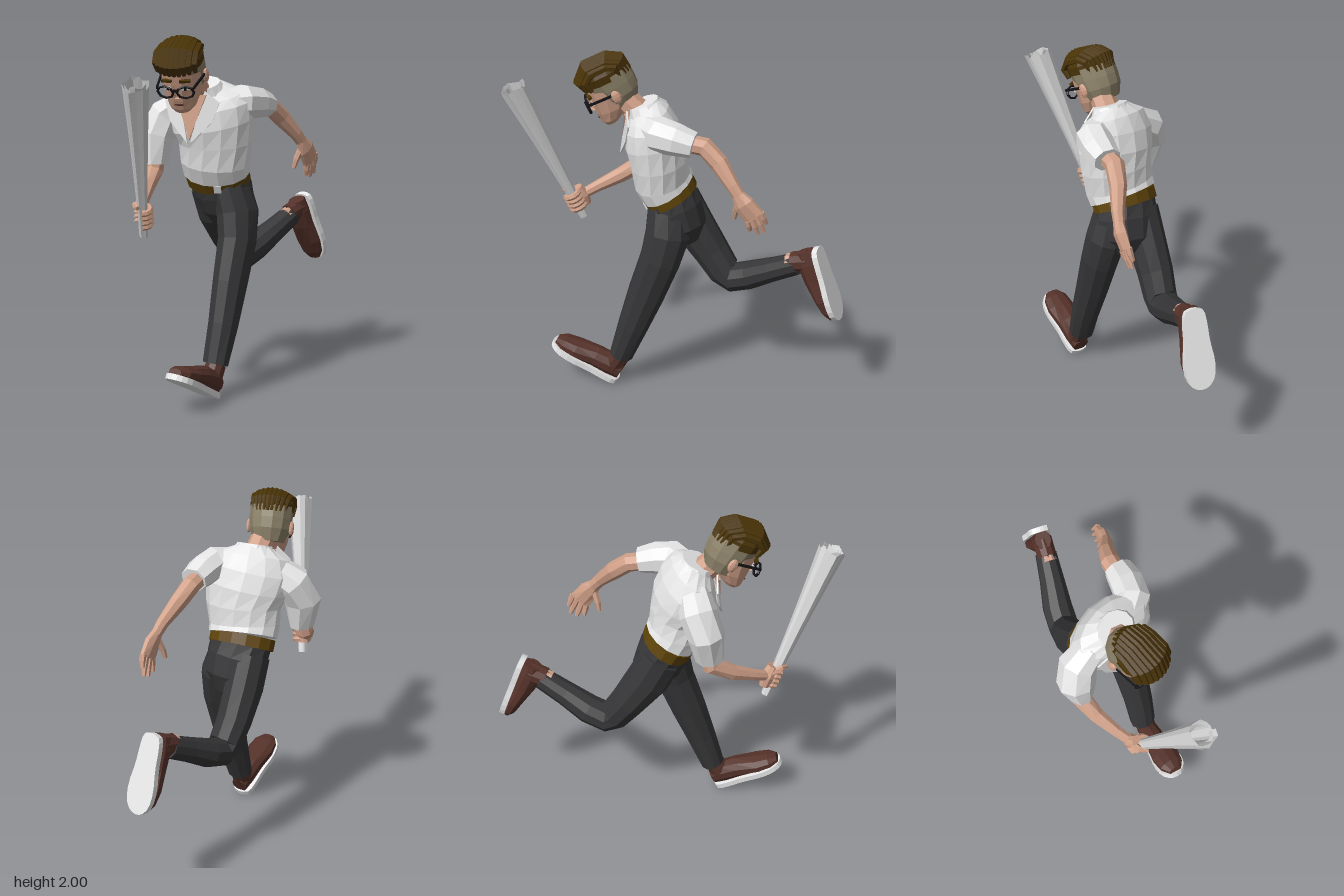
import * as THREE from 'three';

const mat = (name, color, extra) => new THREE.MeshStandardMaterial({ name, color, ...extra });
const V = (x, y, z) => new THREE.Vector3(x, y, z);

export function createModel() {
  const M = {
    skin: mat('skin', 0xd0a088), hair: mat('hair', 0x4a3408), shaved: mat('shaved hair', 0x8a8068),
    shirt: mat('shirt', 0xe6e6e6), trousers: mat('trousers', 0x363638), belt: mat('belt', 0x5c4208),
    shoe: mat('shoe leather', 0x55322a), sole: mat('sole', 0xececec), frame: mat('black frame', 0x141418),
    paper: mat('paper', 0xd8d8d8, { side: THREE.DoubleSide }),
  };
  const root = new THREE.Group();

  // Faceted mesh
  function add(parent, name, geo, material) {
    const g = geo.index ? geo.toNonIndexed() : geo;
    g.computeVertexNormals();
    const m = new THREE.Mesh(g, material);
    m.name = name;
    parent.add(m);
    return m;
  }

  // Elliptical rings along a path; each point is [x, y, z, rSide, rOther, yaw]
  function limb(parent, name, pts, material, n = 8, axis = null) {
    const pos = [], idx = [], C = pts.map(p => V(p[0], p[1], p[2]));
    const last = pts.length - 1;
    pts.forEach((p, i) => {
      const t = axis ? axis.clone() : C[Math.min(i + 1, last)].clone().sub(C[Math.max(i - 1, 0)]).normalize();
      const yaw = p[5] || 0;
      const side = V(Math.cos(yaw), 0, -Math.sin(yaw));
      side.addScaledVector(t, -side.dot(t)).normalize();
      const other = t.clone().cross(side);
      for (let j = 0; j < n; j++) {
        const a = (j + 0.5) / n * Math.PI * 2;
        const v = C[i].clone().addScaledVector(side, Math.cos(a) * p[3]).addScaledVector(other, Math.sin(a) * (p[4] ?? p[3]));
        pos.push(v.x, v.y, v.z);
      }
    });
    const c0 = pts.length * n;
    pos.push(...C[0].toArray(), ...C[last].toArray());
    for (let j = 0; j < n; j++) {
      const k = (j + 1) % n;
      for (let i = 0; i < last; i++) {
        const a = i * n + j, b = i * n + k;
        idx.push(a, b, b + n, a, b + n, a + n);
      }
      idx.push(c0, k, j, c0 + 1, last * n + j, last * n + k);
    }
    const g = new THREE.BufferGeometry();
    g.setAttribute('position', new THREE.Float32BufferAttribute(pos, 3));
    g.setIndex(idx);
    return add(parent, name, g, material);
  }

  function box(parent, name, size, at, rot, material) {
    const m = add(parent, name, new THREE.BoxGeometry(...size), material);
    m.position.set(...at);
    m.rotation.set(...rot, 'YXZ');
    return m;
  }
  function plate(parent, name, corners, depth, material) {
    const s = new THREE.Shape(corners.map(c => new THREE.Vector2(...c)));
    return add(parent, name, new THREE.ExtrudeGeometry(s, { depth, bevelEnabled: false }), material);
  }
  function frameGroup(name, at, rot) {
    const g = new THREE.Group();
    g.name = name;
    g.position.set(...at);
    g.rotation.set(...rot, 'YXZ');
    root.add(g);
    return g;
  }

  // Shirt body and collar
  limb(root, 'shirtBody', [[.02, 1.235, .05, .202, .158, .15], [.03, 1.29, .078, .207, .16, .18], [.045, 1.4, .09, .215, .165, .28],
    [.04, 1.5, .115, .24, .17, .38], [.03, 1.6, .14, .25, .15, .4], [.03, 1.67, .16, .21, .12, .4], [.04, 1.71, .185, .11, .09, .4]], M.shirt, 14);
  limb(root, 'collarBand', [[.03, 1.665, .165, .14, .11, .4], [.035, 1.73, .19, .1, .09, .4]], M.shirt, 12);
  const chest = frameGroup('openNeck', [.04, 1.55, .298], [-.1, .33, 0]);
  plate(chest, 'chestSkin', [[-.09, .125], [0, -.12], [.09, .125]], .009, M.skin);
  for (const s of [-1, 1]) {
    const flap = plate(chest, 'lapel', [[.075, .15], [.16, .085], [.125, -.02], [.006, -.14]].map(([x, y]) => [x * s, y]), .009, M.shirt);
    flap.position.z = .008;
    flap.rotation.y = s * .22;
  }

  // Sleeves
  limb(root, 'leftSleeve', [[.13, 1.62, .11, .09, .09], [.2, 1.625, .03, .1, .1], [.208, 1.615, -.07, .095, .088], [.2, 1.595, -.165, .08, .07]], M.shirt);
  limb(root, 'rightSleeve', [[-.1, 1.61, .19, .08, .09], [-.195, 1.54, .23, .105, .105], [-.228, 1.43, .28, .108, .1], [-.212, 1.27, .3, .07, .08]], M.shirt);

  // Arms
  limb(root, 'leftArm', [[.195, 1.6, -.1, .052], [.18, 1.585, -.22, .055, .052], [.2, 1.51, -.31, .048, .052],
    [.24, 1.41, -.4, .035, .038], [.25, 1.36, -.44, .03, .036]], M.skin);
  limb(root, 'rightArm', [[-.21, 1.34, .29, .05], [-.22, 1.235, .31, .055], [-.17, 1.165, .42, .045], [-.1, 1.11, .53, .034], [-.04, 1.07, .605, .03]], M.skin);

  // Open left hand
  limb(root, 'leftPalm', [[.25, 1.37, -.43, .028, .036], [.256, 1.32, -.47, .033, .06], [.25, 1.25, -.525, .024, .066]], M.skin);
  [[-.562, 1.285, -.59, 1.215], [-.538, 1.265, -.58, 1.165], [-.512, 1.24, -.545, 1.148], [-.49, 1.225, -.5, 1.16]].forEach(([z, y, z2, y2]) =>
    limb(root, 'leftFinger', [[.25, y, z, .02], [.245, (y + y2) / 2, (z + z2) / 2, .018], [.235, y2, z2, .011]], M.skin, 6));
  limb(root, 'leftThumb', [[.25, 1.33, -.44, .022], [.23, 1.26, -.415, .018], [.22, 1.21, -.405, .011]], M.skin, 6);

  // Rolled paper baton held in the right fist
  const baton = frameGroup('baton', [-.035, .935, .595], [0, 0, 0]);
  const reach = V(.232, .845, .295);
  baton.quaternion.setFromUnitVectors(V(0, 1, 0), reach.clone().normalize());
  const rows = 7, cols = 32, bp = [], bi = [];
  for (let i = 0; i <= rows; i++) for (let j = 0; j <= cols; j++) {
    const t = i / rows, a = j / cols * Math.PI * 4.6;
    const r = (.028 + .055 * t ** 1.4) * (1 - .5 * j / cols) * (1 + .07 * Math.sin(j * 2.4));
    bp.push(r * Math.cos(a), t * reach.length() + (i === rows ? .012 * Math.sin(j * 1.7) : 0), r * Math.sin(a));
    if (i < rows && j < cols) {
      const k = i * (cols + 1) + j, m = k + cols + 1;
      bi.push(k, m, k + 1, k + 1, m, m + 1);
    }
  }
  const roll = new THREE.BufferGeometry();
  roll.setAttribute('position', new THREE.Float32BufferAttribute(bp, 3));
  roll.setIndex(bi);
  add(baton, 'rolledPaper', roll, M.paper);
  for (let i = 0; i < 4; i++) {
    const finger = add(baton, 'rightFinger', new THREE.TorusGeometry(.04, .018, 6, 9, 4.8), M.skin);
    finger.rotation.set(Math.PI / 2, 0, 2.4);
    finger.position.y = .08 + i * .029;
  }
  limb(baton, 'rightPalm', [[-.035, .06, -.03, .03, .03], [-.04, .12, -.035, .04, .042], [-.035, .185, -.03, .028, .03]], M.skin);
  limb(baton, 'rightThumb', [[-.05, .15, -.02, .02], [-.035, .195, .02, .018], [.005, .2, .045, .012]], M.skin, 6);

  // Belt and buckle
  limb(root, 'belt', [[.015, 1.178, .022, .192, .15, .15], [.02, 1.235, .052, .192, .15, .15]], M.belt, 14);
  box(root, 'buckle', [.04, .045, .009], [.11, 1.143, .152], [.45, .45, 0], M.sole);

  // Trousers
  limb(root, 'hips', [[.02, 1.205, .035, .182, .138, .1], [.025, 1.12, .0, .185, .148], [.03, 1.02, -.035, .17, .14], [.03, .93, -.05, .1, .09]], M.trousers, 12);
  limb(root, 'leftTrouserLeg', [[.1, 1.15, .02, .1, .12], [.14, 1.0, .01, .115, .13], [.165, .85, .045, .108, .118], [.18, .62, .127, .095, .108],
    [.195, .4, .205, .085, .09], [.2, .19, .28, .077, .07]], M.trousers, 10);
  limb(root, 'rightTrouserLeg', [[-.06, 1.14, .01, .11, .12], [-.07, .98, -.07, .11, .125], [-.08, .82, -.18, .102, .105], [-.075, .71, -.26, .095, .095],
    [-.075, .675, -.31, .092, .085], [-.068, .715, -.42, .09, .082], [-.042, .79, -.56, .075, .07], [-.02, .865, -.705, .064, .064]], M.trousers, 10);

  // Shoes, heel at the local origin and toe along +z
  function foot(name, at, rot) {
    const g = frameGroup(name, at, rot);
    const outline = new THREE.Shape();
    outline.moveTo(0, -.005);
    outline.splineThru([[.05, .01], [.065, .08], [.07, .18], [.087, .3], [.075, .39], [.03, .438], [-.03, .438], [-.075, .39],
      [-.087, .3], [-.07, .18], [-.065, .08], [-.05, .01], [0, -.005]].map(p => new THREE.Vector2(...p)));
    const sole = new THREE.ExtrudeGeometry(outline, { depth: .032, bevelEnabled: false, curveSegments: 2 });
    sole.rotateX(Math.PI / 2).translate(0, .032, 0);
    add(g, 'sole', sole, M.sole);
    limb(g, 'upper', [[0, .08, .008, .048, .055], [0, .085, .08, .064, .068], [0, .078, .18, .07, .064], [0, .06, .3, .086, .05],
      [0, .05, .38, .074, .04], [0, .042, .428, .04, .022]], M.shoe, 10, V(0, 0, 1));
    limb(g, 'shoeCollar', [[0, .08, .07, .06, .066], [0, .178, .062, .058, .06]], M.shoe, 10);
    limb(g, 'ankle', [[0, .12, .065, .05, .05], [0, .21, .06, .05, .05]], M.skin);
  }
  foot('leftShoe', [.21, .004, .312], [-.49, .1, 0]);
  foot('rightShoe', [-.01, .99, -.825], [1.92, -.07, 0]);

  // Neck and head
  limb(root, 'neck', [[.04, 1.56, .18, .078], [.035, 1.67, .21, .076], [.045, 1.735, .28, .07], [.05, 1.79, .35, .07]], M.skin);
  const head = frameGroup('head', [.05, 1.79, .37], [.45, .4, 0]), up = V(0, 1, 0);
  limb(head, 'face', [[0, -.172, .075, .045, .04], [0, -.145, .06, .075, .068], [0, -.09, .025, .098, .107], [0, 0, -.005, .114, .135],
    [0, .08, -.01, .116, .135], [0, .15, 0, .085, .1]], M.skin, 12, up);
  limb(head, 'shavedSides', [[0, -.1, -.035, .088, .085], [0, -.03, -.03, .115, .122], [0, .03, -.02, .121, .136], [0, .1, -.01, .122, .142]], M.shaved, 12, up);
  limb(head, 'hairTop', [[0, .075, -.003, .122, .145], [0, .12, 0, .126, .146], [0, .16, 0, .105, .125], [0, .185, 0, .06, .085]], M.hair, 12, up);
  for (let i = -4; i <= 4; i++) {
    const x = i * .026, k = Math.sqrt(1 - (x / .135) ** 2);
    limb(head, 'hairStrand', [[x, .065, .128 * k, .012], [x, .12, .146 * k, .022], [x, .1 + .085 * k, .075 * k, .023],
      [x * .95, .1 + .084 * k, -.06 * k, .021], [x * .9, .11 + .03 * k, -.135 * k, .02], [x * .8, .065, -.148 * k, .009]], M.hair, 6);
  }
  limb(head, 'nose', [[0, .005, .13, .012, .012], [0, -.05, .147, .02, .022], [0, -.068, .13, .016, .014]], M.skin, 6, up);
  box(head, 'mouth', [.05, .008, .008], [0, -.112, .128], [0, 0, 0], M.shoe);

  // Ears, eyes, brows and glasses
  for (const s of [-1, 1]) {
    const ear = add(head, 'ear', new THREE.SphereGeometry(1, 8, 6), M.skin);
    ear.scale.set(.016, .04, .028);
    ear.position.set(s * .121, -.015, -.025);
    box(head, 'eye', [.04, .018, .008], [s * .048, -.015, .121], [0, s * .25, 0], M.sole);
    box(head, 'iris', [.014, .018, .008], [s * .048, -.015, .124], [0, s * .25, 0], M.frame);
    box(head, 'brow', [.06, .014, .02], [s * .05, .03, .12], [0, s * .25, s * -.1], M.hair);
    const rim = add(head, 'glassesRim', new THREE.TorusGeometry(.046, .0075, 5, 8), M.frame);
    rim.scale.y = .78;
    rim.position.set(s * .056, -.022, .15);
    rim.rotation.y = s * .15;
    box(head, 'glassesTemple', [.008, .014, .16], [s * .111, .002, .068], [0, s * -.12, 0], M.frame);
  }
  box(head, 'glassesBridge', [.03, .011, .011], [0, -.012, .153], [0, 0, 0], M.frame);

  return root;
}
